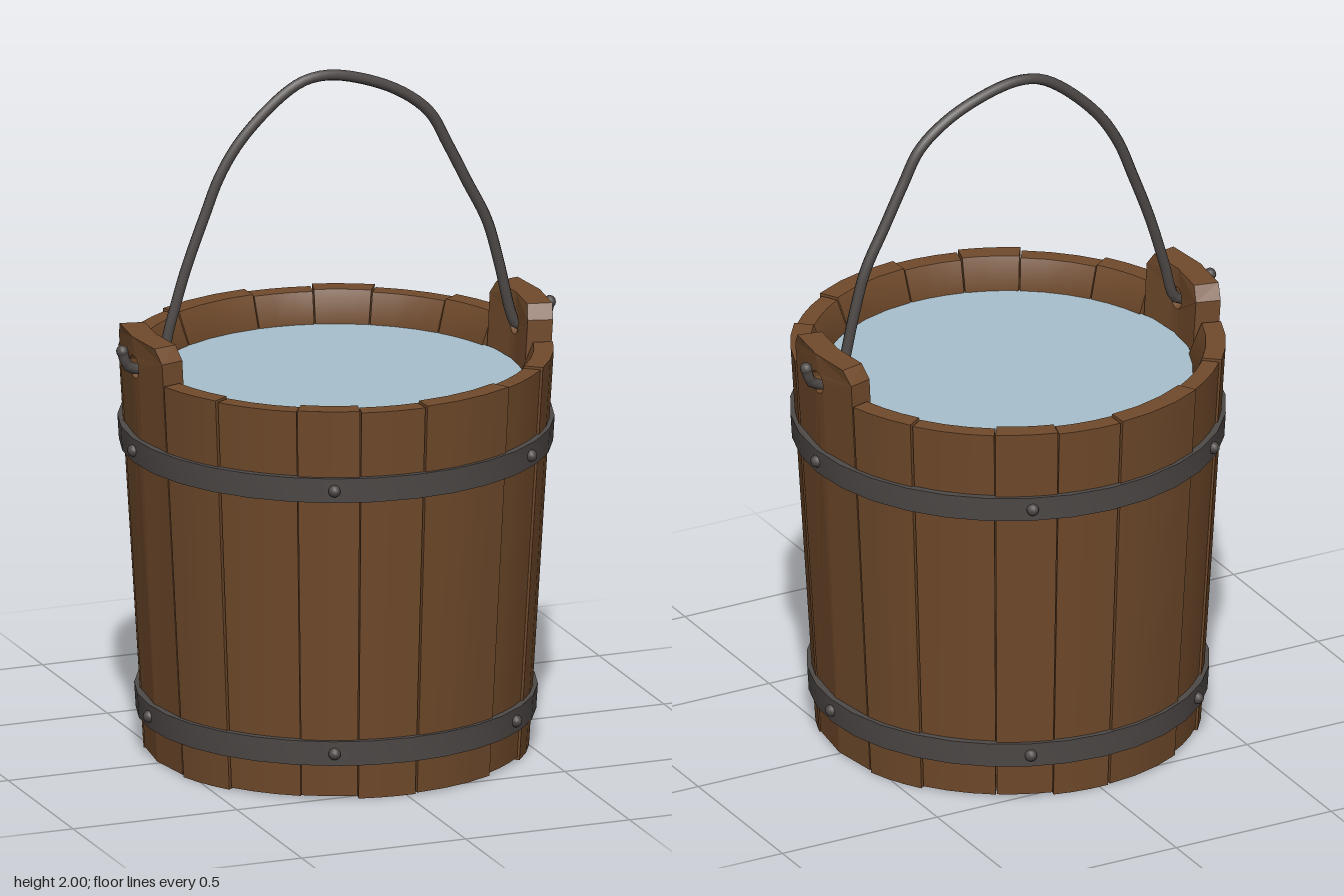
import * as THREE from 'three';
import { toCreasedNormals } from 'three/addons/utils/BufferGeometryUtils.js';

const wood = new THREE.MeshStandardMaterial({ color: 0x704a2b });
wood.name = 'brown wood';
const iron = new THREE.MeshStandardMaterial({ color: 0x4e4947 });
iron.name = 'dark iron';
const waterBlue = new THREE.MeshStandardMaterial({ color: 0xa8c1ce });
waterBlue.name = 'pale water';

const RAD = Math.PI / 180;
const wallRadius = (y) => 0.545 + 0.06 * y; // outer radius of the tapered wall

function add(parent, name, geometry, material) {
  const mesh = new THREE.Mesh(geometry, material);
  mesh.name = name;
  parent.add(mesh);
  return mesh;
}

// Wraps a flat piece round the bucket: x becomes the angle, z (0..1) the depth from inner to outer face
function wrap(geometry, middle, innerRadius, bulge = 0) {
  const p = geometry.attributes.position;
  for (let i = 0; i < p.count; i++) {
    const y = p.getY(i);
    const a = middle + p.getX(i);
    const inner = innerRadius(y);
    const r = inner + (wallRadius(y) + bulge - inner) * p.getZ(i);
    p.setXYZ(i, Math.sin(a) * r, y, Math.cos(a) * r);
  }
  geometry.computeVertexNormals();
  return geometry;
}

// One curved stave with a thinner upper lip
function stave(from, to, bottom, top, bulge) {
  const width = to - from - 0.007;
  const g = new THREE.BoxGeometry(width, 2, 1, 3, 2, 1);
  const p = g.attributes.position;
  for (let i = 0; i < p.count; i++) {
    const level = Math.round(p.getY(i)) + 1;
    p.setY(i, [bottom, 1.08, top][level]);
    p.setZ(i, p.getZ(i) + 0.5);
  }
  const inner = (y) => (y < 1.1 ? 0.475 + 0.0465 * y : 0.562);
  return wrap(g, (from + to) / 2, inner, bulge);
}

// Half of a tall stave with a cut corner and half of the handle hole
function lugHalf(side, middle) {
  const w = 0.272 * side;
  const points = [[0, 0.005], [w, 0.005], [w, 1.235], [w * 0.8, 1.275], [0, 1.275]];
  for (let i = 0; i <= 8; i++) {
    const a = Math.PI / 2 - (i / 8) * Math.PI;
    points.push([Math.cos(a) * 0.055 * side, 1.185 + Math.sin(a) * 0.034]);
  }
  const shape = new THREE.Shape(points.map(([x, y]) => new THREE.Vector2(x, y)));
  const g = new THREE.ExtrudeGeometry(shape, { depth: 1, bevelEnabled: false });
  return wrap(g, middle, (y) => wallRadius(y) - 0.072);
}

function hoop(y0, y1) {
  const a = wallRadius(y0);
  const b = wallRadius(y1);
  const profile = [[a + 0.017, y0], [b + 0.017, y1], [b - 0.006, y1], [a - 0.006, y0], [a + 0.017, y0]];
  const g = new THREE.LatheGeometry(profile.map(([x, y]) => new THREE.Vector2(x, y)), 32);
  return toCreasedNormals(g, 0.6);
}

export function createModel() {
  const bucket = new THREE.Group();
  bucket.name = 'bucket';

  // Staves: the same uneven run on the front and the back
  const staves = new THREE.Group();
  staves.name = 'staves';
  bucket.add(staves);
  const seams = [-74, -55, -32, -15, 3, 31, 50, 74];
  const bulges = [0.002, -0.004, 0.004, 0, 0.005, -0.003, 0.003];
  for (const turn of [0, Math.PI]) {
    for (let i = 0; i < seams.length - 1; i++) {
      const g = stave(seams[i] * RAD + turn, seams[i + 1] * RAD + turn,
        (i % 3) * 0.005, 1.172 - (i % 2) * 0.006, bulges[i]);
      add(staves, 'stave', g, wood);
    }
    for (const side of [-1, 1]) add(staves, 'handleLug', lugHalf(side, Math.PI / 2 + turn), wood);
  }

  // Bottom of three planks running front to back
  const R = 0.5;
  const cuts = [-0.499, -0.2, 0.22, 0.499];
  for (let i = 0; i < 3; i++) {
    const points = [];
    for (const way of [1, -1]) {
      for (let k = 0; k <= 8; k++) {
        const t = way > 0 ? k / 8 : 1 - k / 8;
        const x = cuts[i] + 0.003 + (cuts[i + 1] - cuts[i] - 0.006) * t;
        points.push(new THREE.Vector2(x, -way * Math.sqrt(R * R - x * x)));
      }
    }
    const g = new THREE.ExtrudeGeometry(new THREE.Shape(points), { depth: 0.04, bevelEnabled: false });
    g.rotateX(-Math.PI / 2).translate(0, 0.045, 0);
    add(bucket, 'bottomPlank', g, wood);
  }

  // Water surface
  const water = add(bucket, 'water', new THREE.CircleGeometry(0.535, 32), waterBlue);
  water.rotation.x = -Math.PI / 2;
  water.position.y = 1.08;

  // Iron hoops with rivets
  for (const [y0, y1] of [[0.105, 0.178], [0.9, 0.973]]) {
    add(bucket, 'hoop', hoop(y0, y1), iron);
    const y = (y0 + y1) / 2;
    const r = wallRadius(y) + 0.017;
    for (const turn of [0, 180]) {
      for (const angle of [42, -22, 90]) {
        const a = (angle + turn) * RAD;
        const rivet = add(bucket, 'rivet', new THREE.SphereGeometry(0.018, 10, 8), iron);
        rivet.position.set(Math.sin(a) * r, y, Math.cos(a) * r);
      }
    }
  }

  // Bent wire handle, hooked out through both lugs
  const path = [
    [-0.652, 1.235], [-0.635, 1.19], [-0.59, 1.175], [-0.54, 1.188], [-0.505, 1.3], [-0.46, 1.45],
    [-0.4, 1.61], [-0.355, 1.72], [-0.29, 1.82], [-0.175, 1.93], [-0.1, 1.974], [-0.03, 1.984],
    [0.06, 1.968], [0.19, 1.915], [0.285, 1.84], [0.34, 1.74], [0.4, 1.62], [0.46, 1.5],
    [0.497, 1.37], [0.535, 1.21], [0.55, 1.18], [0.59, 1.172], [0.635, 1.19], [0.652, 1.235],
  ].map(([x, y]) => new THREE.Vector3(x, y, 0));
  const curve = new THREE.CatmullRomCurve3(path);
  add(bucket, 'handle', new THREE.TubeGeometry(curve, 96, 0.016, 8), iron);
  for (const end of [path[0], path[path.length - 1]]) {
    const tip = add(bucket, 'handleTip', new THREE.SphereGeometry(0.018, 10, 8), iron);
    tip.position.copy(end);
  }
  return bucket;
}
